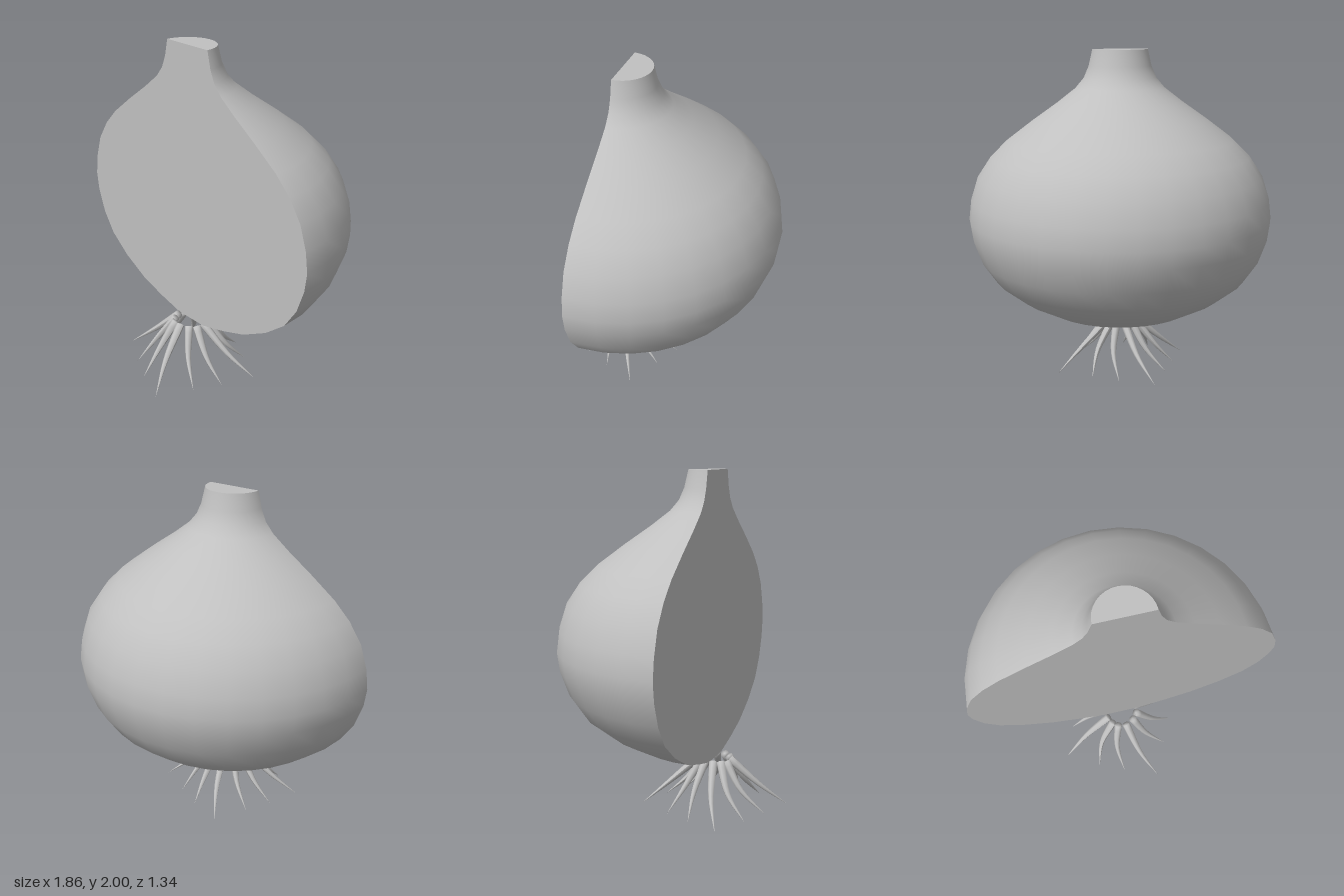
import * as THREE from 'three';

const CUT_Z = 0.26, CENTRE_X = -0.005, SIDES = 16;

// Bulb outline from base to neck: [radius, height]
const profile = [
  [0.11, 0.3], [0.29, 0.345], [0.46, 0.4], [0.64, 0.495], [0.78, 0.605], [0.865, 0.73],
  [0.915, 0.87], [0.93, 0.98], [0.915, 1.1], [0.87, 1.24], [0.79, 1.36], [0.69, 1.46],
  [0.53, 1.58], [0.38, 1.685], [0.27, 1.77], [0.22, 1.83], [0.19, 1.9], [0.167, 2],
];

// Half of the roots, relative to the bulb axis: base, middle and tip as [x, z]
const roots = [
  [[-0.09, 0.02], [-0.26, 0.07], [-0.415, 0.15]],
  [[-0.07, 0.06], [-0.165, 0.14], [-0.21, 0.26]],
  [[-0.04, 0.085], [-0.07, 0.19], [-0.05, 0.335]],
  [[0.01, 0.09], [0.07, 0.26], [0.16, 0.41]],
  [[0.06, 0.065], [0.14, 0.14], [0.26, 0.205]],
  [[0.09, 0.03], [0.21, 0.055], [0.335, 0.045]],
];

// Tube that tapers to a point at its tip and is closed at its base
function taperedRoot([base, mid, tip]) {
  const path = new THREE.CatmullRomCurve3([
    new THREE.Vector3(base[0], 0.298, base[1]),
    new THREE.Vector3(mid[0], 0.14, mid[1]),
    new THREE.Vector3(tip[0], 0.004, tip[1]),
  ]);
  const segments = 11, sides = 8;
  const geometry = new THREE.TubeGeometry(path, segments, 0.025, sides);
  const pos = geometry.attributes.position;
  const p = new THREE.Vector3();
  for (let i = 0; i <= segments; i++) {
    const t = Math.max(0, (i - 1) / (segments - 1));
    const from = path.getPointAt(i / segments), to = path.getPointAt(t);
    const scale = i === 0 ? 0 : 1 - Math.pow(t, 1.4);
    for (let j = 0; j <= sides; j++) {
      const k = i * (sides + 1) + j;
      p.fromBufferAttribute(pos, k).sub(from).multiplyScalar(scale).add(to);
      pos.setXYZ(k, p.x, p.y, p.z);
    }
  }
  geometry.computeVertexNormals();
  return geometry;
}

export function createModel() {
  const model = new THREE.Group();
  model.name = 'halvedBulb';
  const grey = new THREE.MeshStandardMaterial({ color: 0xc0c0c0 });
  grey.name = 'plainGrey';

  const bulb = new THREE.Group();
  bulb.name = 'bulb';
  bulb.position.set(CENTRE_X, 0, CUT_Z);
  model.add(bulb);
  const add = (name, geometry, parent = bulb) => {
    const mesh = new THREE.Mesh(geometry, grey);
    mesh.name = name;
    parent.add(mesh);
    return mesh;
  };

  // Rounded back half
  const points = profile.map(([r, y]) => new THREE.Vector2(r, y));
  add('bulbSkin', new THREE.LatheGeometry(points, SIDES, Math.PI / 2, Math.PI));

  // Flat cut face
  const outline = [...points, ...points.map((p) => new THREE.Vector2(-p.x, p.y)).reverse()];
  add('cutFace', new THREE.ShapeGeometry(new THREE.Shape(outline)));

  // Half discs closing the neck and the base
  const [baseRadius, baseY] = profile[0];
  const [neckRadius, neckY] = profile[profile.length - 1];
  add('neckTop', new THREE.CircleGeometry(neckRadius, SIDES, 0, Math.PI).rotateX(-Math.PI / 2))
    .position.y = neckY;
  add('basePlate', new THREE.CircleGeometry(baseRadius, SIDES, Math.PI, Math.PI).rotateX(Math.PI / 2))
    .position.y = baseY;

  // Roots, repeated by a half turn about the axis
  const geometries = roots.map(taperedRoot);
  for (let half = 0; half < 2; half++) {
    const cluster = new THREE.Group();
    cluster.name = half ? 'backRoots' : 'frontRoots';
    cluster.position.set(-0.01, 0, CUT_Z);
    cluster.rotation.y = half * Math.PI;
    geometries.forEach((g) => add('root', g, cluster));
    model.add(cluster);
  }
  return model;
}
